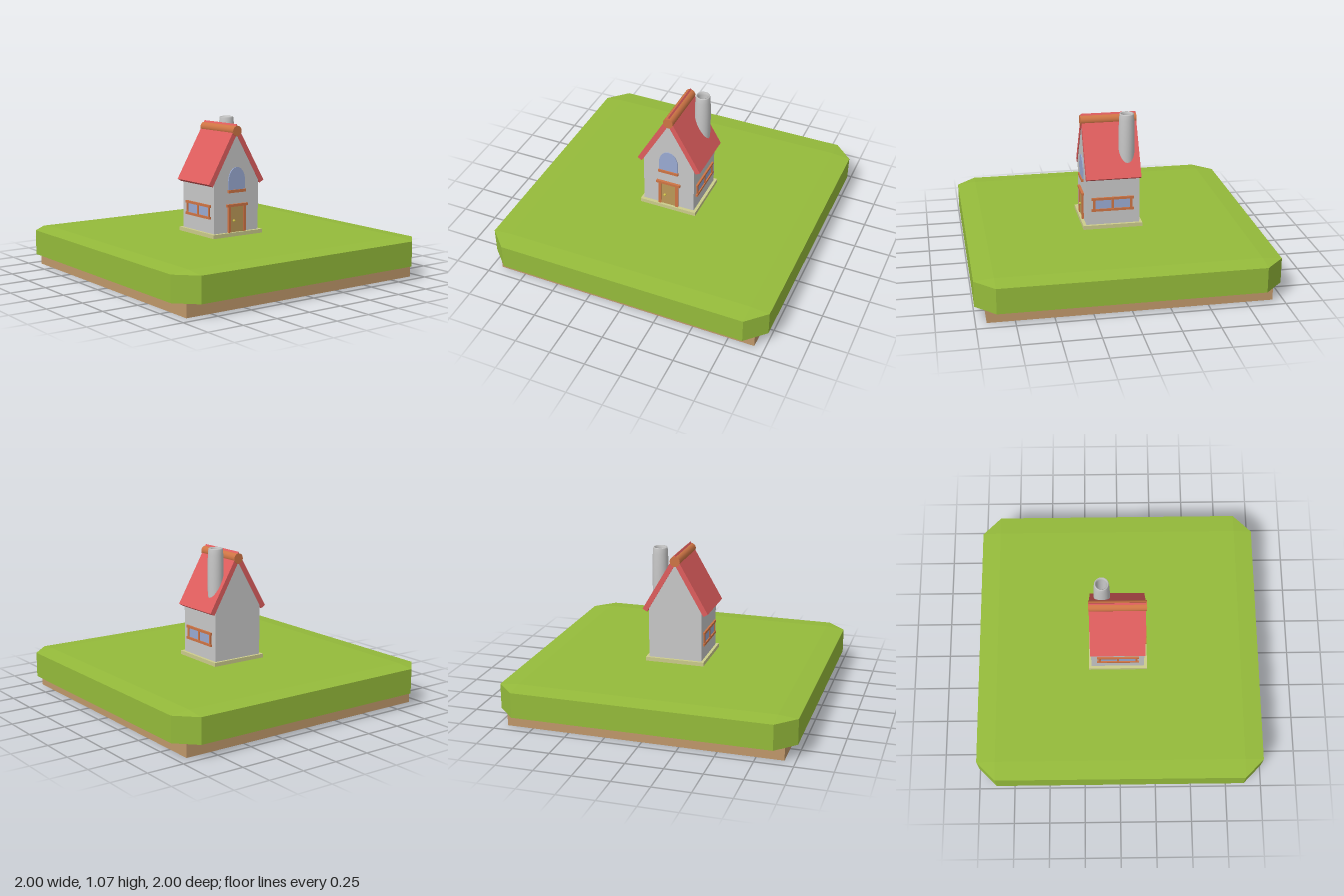
import * as THREE from 'three';
import { ConvexGeometry } from 'three/addons/geometries/ConvexGeometry.js';

const mat = (name, color, side = THREE.FrontSide) => {
  const m = new THREE.MeshStandardMaterial({ color, side });
  m.name = name;
  return m;
};

export function createModel() {
  const model = new THREE.Group();
  model.name = 'cottageOnLawn';

  const grass = mat('grass', 0x95bb3b);
  const earth = mat('earth', 0xc0986a);
  const stone = mat('paleStone', 0xcccc8c);
  const plaster = mat('greyPlaster', 0xc8c8c8);
  const tile = mat('redTile', 0xe05e5e);
  const timber = mat('orangeTimber', 0xcf7545);
  const wood = mat('doorWood', 0xbc9858);
  const glass = mat('blueGlass', 0x9aaad2);
  const brass = mat('brass', 0xd0c04c);

  const add = (name, geometry, material, parent = model) => {
    const mesh = new THREE.Mesh(geometry, material);
    mesh.name = name;
    parent.add(mesh);
    return mesh;
  };
  // Box given by its extents on each axis
  const box = (name, material, [x0, x1], [y0, y1], [z0, z1], parent) => {
    const mesh = add(name, new THREE.BoxGeometry(x1 - x0, y1 - y0, z1 - z0), material, parent);
    mesh.position.set((x0 + x1) / 2, (y0 + y1) / 2, (z0 + z1) / 2);
    return mesh;
  };
  // Front outline extruded from z0 to z1
  const prism = (name, material, points, z0, z1, parent) => {
    const shape = new THREE.Shape(points.map(([x, y]) => new THREE.Vector2(x, y)));
    const geometry = new THREE.ExtrudeGeometry(shape, { depth: z1 - z0, bevelEnabled: false });
    return add(name, geometry.translate(0, 0, z0), material, parent);
  };

  // Ground: earth slab under a lawn with cut corners and shallow bevels
  box('earthSlab', earth, [-0.93, 0.93], [0, 0.1], [-0.93, 0.93]);
  const corners = [];
  for (const sx of [-1, 1]) {
    for (const sz of [-1, 1]) {
      for (const [inner, outer] of [[0.08, 0.09], [0.276, 0.263]]) {
        corners.push(new THREE.Vector3(0.87 * sx, inner, 0.87 * sz));
        corners.push(new THREE.Vector3(sx, outer, 0.87 * sz));
        corners.push(new THREE.Vector3(0.87 * sx, outer, sz));
      }
    }
  }
  add('lawn', new ConvexGeometry(corners), grass);

  // House body
  box('foundation', stone, [-0.207, 0.207], [0.265, 0.303], [-0.213, 0.2]);
  prism('walls', plaster,
    [[-0.187, 0.29], [0.187, 0.29], [0.187, 0.66], [0, 0.985], [-0.187, 0.66]], -0.194, 0.177);

  // Roof slopes, mirrored, with a round ridge beam
  const slope = [[0.2, 0.628], [0.232, 0.646], [0, 1.045], [0, 0.974]];
  prism('roofSlopeLeft', tile, slope, -0.198, 0.181);
  prism('roofSlopeRight', tile, slope.map(([x, y]) => [-x, y]).reverse(), -0.198, 0.181);
  const ridge = add('ridgeBeam', new THREE.CylinderGeometry(0.036, 0.036, 0.388, 16), timber);
  ridge.rotation.x = Math.PI / 2;
  ridge.position.set(0, 0.998, -0.006);

  // Hollow chimney standing on the roof slope
  const profile = [[0.052, 0.72], [0.055, 0.82], [0.055, 0.94], [0.052, 1.03], [0.049, 1.065],
    [0.046, 1.072], [0.039, 1.07], [0.037, 1.05], [0.037, 0.72]];
  const chimney = add('chimney',
    new THREE.LatheGeometry(profile.map(([r, y]) => new THREE.Vector2(r, y)), 20), plaster);
  chimney.position.set(0.128, 0, -0.112);

  // Front door
  const door = new THREE.Group();
  door.name = 'frontDoor';
  model.add(door);
  box('doorPanel', wood, [-0.054, 0.054], [0.303, 0.482], [0.174, 0.183], door);
  for (const s of [-1, 1]) {
    const x = 0.063 * s;
    box('doorPost', timber, [x - 0.01, x + 0.01], [0.303, 0.482], [0.17, 0.19], door);
  }
  box('doorLintel', timber, [-0.088, 0.088], [0.481, 0.499], [0.17, 0.194], door);
  const knob = add('doorKnob', new THREE.SphereGeometry(0.01, 12, 8), brass, door);
  knob.position.set(-0.026, 0.382, 0.187);

  // Arched window over the door
  const arch = [[-0.07, 0.59], [0.07, 0.59]];
  for (let i = 0; i <= 12; i++) {
    const a = (Math.PI * i) / 12;
    arch.push([0.07 * Math.cos(a), 0.655 + 0.097 * Math.sin(a)]);
  }
  prism('archedWindow', glass, arch, 0.175, 0.184);
  box('archedWindowSill', timber, [-0.073, 0.073], [0.577, 0.597], [0.17, 0.192]);

  // Two-pane windows on both side walls
  for (const s of [-1, 1]) {
    const win = new THREE.Group();
    win.name = s > 0 ? 'sideWindowLeft' : 'sideWindowRight';
    win.position.set(s * 0.187, 0, -0.006);
    model.add(win);
    box('windowGlass', glass, [-0.004, 0.004], [0.41, 0.49], [-0.13, 0.13], win);
    box('windowTopRail', timber, [-0.012, 0.012], [0.482, 0.499], [-0.147, 0.147], win);
    box('windowBottomRail', timber, [-0.012, 0.012], [0.401, 0.418], [-0.147, 0.147], win);
    for (const z of [-0.129, 0, 0.129]) {
      box('windowPost', timber, [-0.009, 0.009], [0.41, 0.49], [z - 0.008, z + 0.008], win);
    }
  }

  return model;
}
